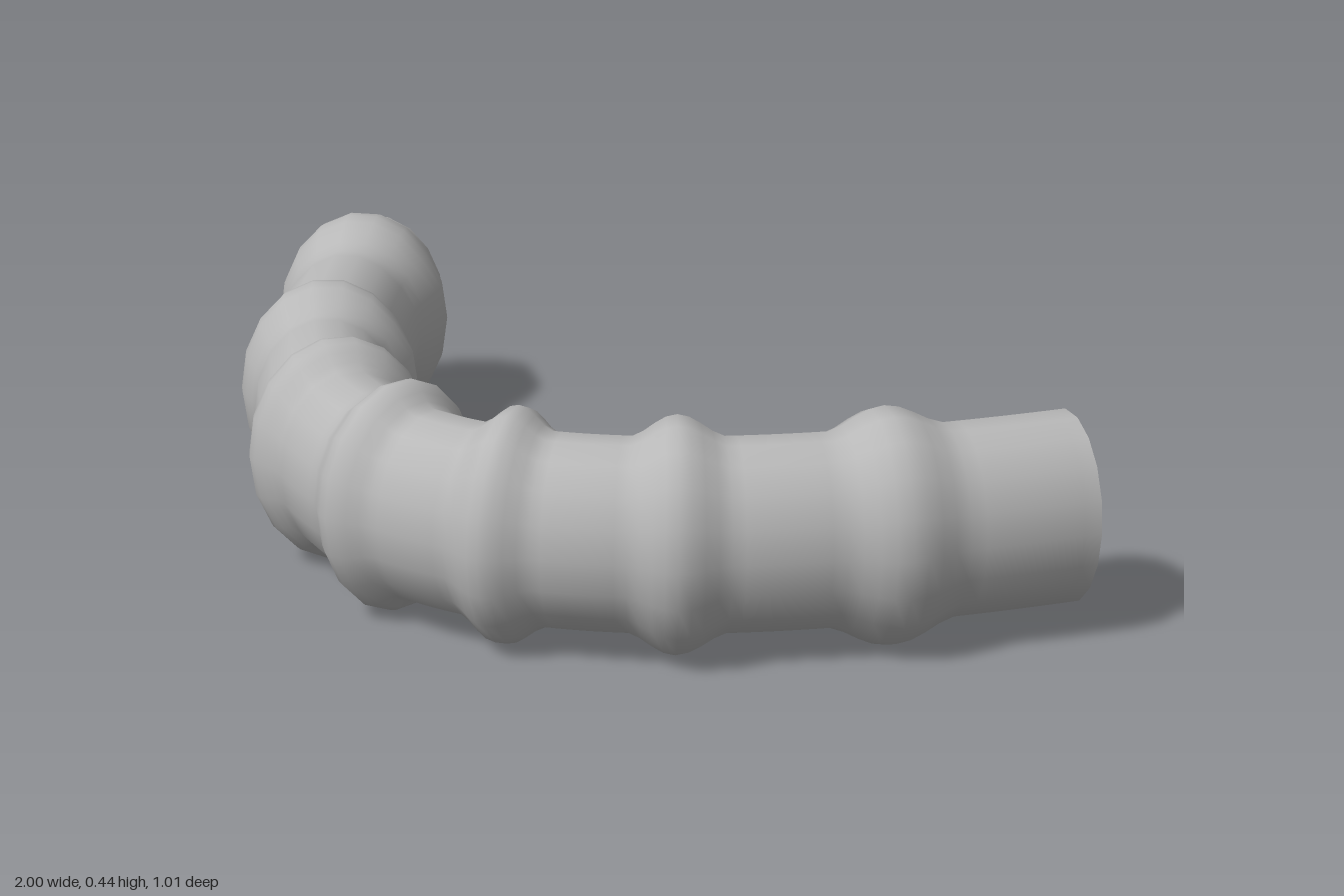
import * as THREE from 'three';
import { mergeVertices } from 'three/addons/utils/BufferGeometryUtils.js';

const SIDES = 18, RINGS = 112, RIBS = 7;
const HALF_WIDTH = 0.143, HALF_HEIGHT = 0.18, RIB_SCALE = 0.222;

// Each rib swells over the first half of its share of the hose
function swell(t) {
  const wave = Math.max(0, Math.sin(t * RIBS * Math.PI * 2));
  return 1 + RIB_SCALE * Math.pow(wave, 1.5);
}

export function createModel() {
  const group = new THREE.Group();
  group.name = 'bentHose';

  const grey = new THREE.MeshStandardMaterial({ color: 0xb8b8b8, side: THREE.DoubleSide });
  grey.name = 'grey';

  // Centre line, bowed towards the front
  const path = new THREE.QuadraticBezierCurve3(
    new THREE.Vector3(-0.873, 0.22, -0.44),
    new THREE.Vector3(0, 0.22, 1.11),
    new THREE.Vector3(0.873, 0.22, -0.44)
  );

  // Open cylinder swept along the centre line with an oval section
  let geometry = new THREE.CylinderGeometry(1, 1, 1, SIDES, RINGS, true, Math.PI / 2);
  geometry.deleteAttribute('uv');
  geometry.deleteAttribute('normal');
  const position = geometry.attributes.position;
  const flatTop = 1 / Math.cos(Math.PI / SIDES);
  for (let i = 0; i < position.count; i++) {
    const t = THREE.MathUtils.clamp(position.getY(i) + 0.5, 0, 1);
    const across = position.getX(i) * HALF_WIDTH * swell(t);
    const up = position.getZ(i) * HALF_HEIGHT * flatTop * swell(t);
    const centre = path.getPoint(t);
    const tangent = path.getTangent(t);
    position.setXYZ(i, centre.x - tangent.z * across, centre.y + up, centre.z + tangent.x * across);
  }
  geometry = mergeVertices(geometry, 1e-5);
  geometry.computeVertexNormals();

  const hose = new THREE.Mesh(geometry, grey);
  hose.name = 'ribbedHose';
  group.add(hose);
  return group;
}
